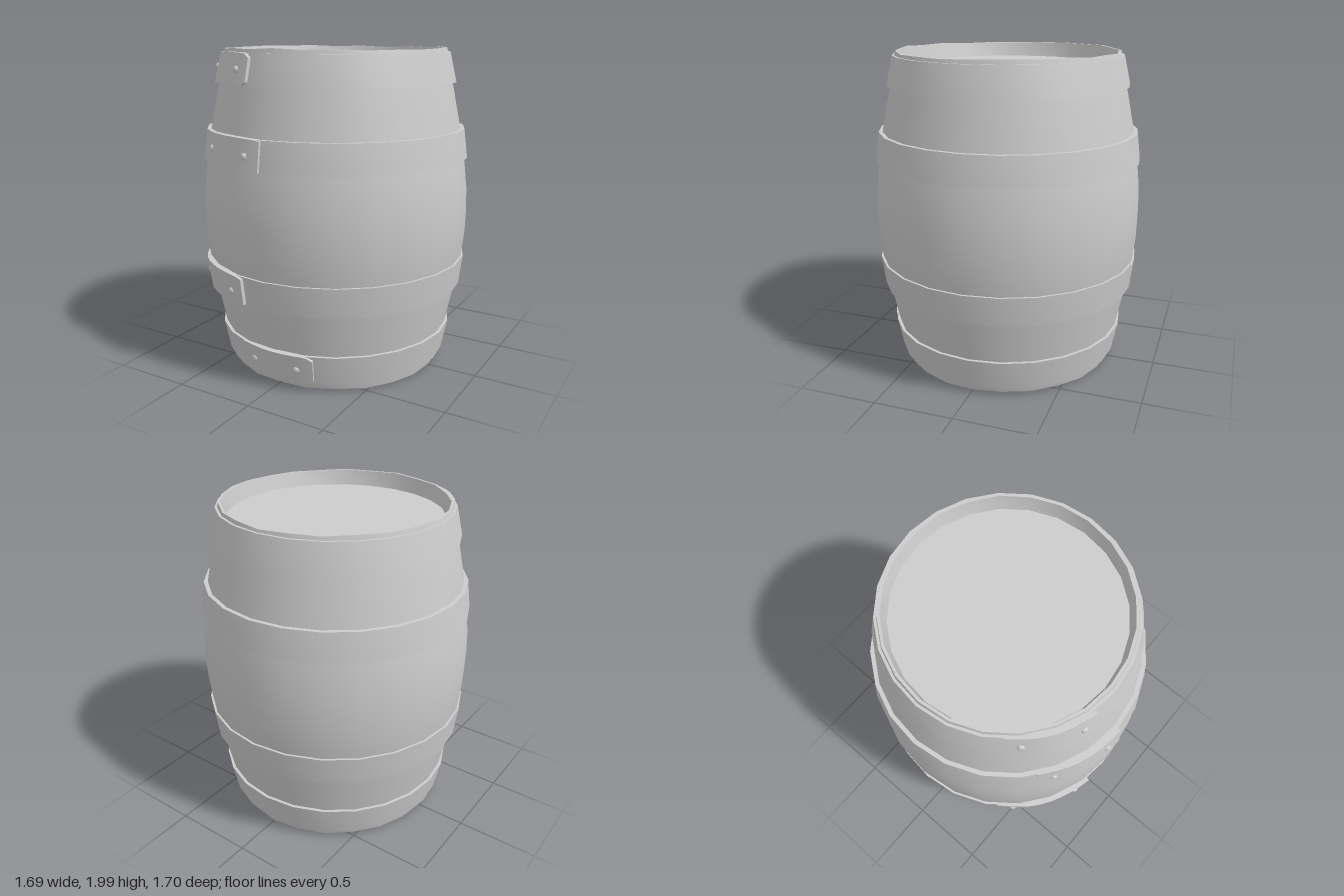
import * as THREE from 'three';
import { toCreasedNormals } from 'three/addons/utils/BufferGeometryUtils.js';

const SIDES = 24;
const grey = new THREE.MeshStandardMaterial({ color: 0xcccccc });

// Revolve [radius, y] points, keeping sharp profile corners sharp.
function revolve(points, adjust) {
  const geo = new THREE.LatheGeometry(points.map(([r, y]) => new THREE.Vector2(r, y)), SIDES);
  if (adjust) adjust(geo.attributes.position);
  return toCreasedNormals(geo, 0.6);
}

function addMesh(parent, name, geometry) {
  const mesh = new THREE.Mesh(geometry, grey);
  mesh.name = name;
  parent.add(mesh);
  return mesh;
}

// Bulging staves with a recessed head at both ends and slightly uneven rims.
function bodyGeometry() {
  const profile = [
    [0, 0.11], [0.655, 0.11], [0.675, 0.014], [0.688, 0.014], [0.695, 0.04],
    [0.735, 0.24], [0.79, 0.51], [0.824, 0.7], [0.842, 0.86], [0.846, 1],
    [0.842, 1.14], [0.824, 1.3], [0.79, 1.51], [0.735, 1.78],
    [0.7, 1.965], [0.693, 1.993], [0.677, 1.993], [0.655, 1.9], [0, 1.9],
  ];
  return revolve(profile, (pos) => {
    for (let i = 0; i < pos.count; i++) {
      const y = pos.getY(i);
      if (y > 1.99 || y < 0.02) {
        const a = Math.atan2(pos.getX(i), pos.getZ(i));
        pos.setY(i, y + 0.007 * Math.cos(5 * a) * Math.cos(8 * a));
      }
    }
  });
}

// One hoop: a closed ring, the raised overlapping end and two rivets.
function createHoop({ name, y0, y1, r0, r1, end, chamfer, rivets }) {
  const hoop = new THREE.Group();
  hoop.name = name;
  const thick = 0.04;
  addMesh(hoop, 'ring', revolve([
    [r0 - thick, y0], [r0, y0], [r1, y1], [r1 - thick, y1], [r0 - thick, y0],
  ]));

  const angleAt = (x) => Math.asin(x / ((r0 + r1) / 2));
  const a1 = angleAt(end);
  const a0 = angleAt(rivets[0][0]) - 0.12;
  const lift = (a) => 0.017 * THREE.MathUtils.smoothstep(a, a0, a0 + 0.35);
  const radius = (y) => r0 + (r1 - r0) * (y - y0) / (y1 - y0);

  // Bend a thin box around the barrel; its end corners are clipped.
  const n = 16;
  const geo = new THREE.BoxGeometry(1, 1, 1, n, 1, 1);
  const pos = geo.attributes.position;
  for (let i = 0; i < pos.count; i++) {
    const u = pos.getX(i) + 0.5;
    const v = pos.getY(i);
    const a = a0 + (a1 - a0) * u;
    const clip = u > 0.99 ? chamfer : u > 1 - 1.5 / n ? chamfer * 0.2 : 0;
    const y = (y0 + y1) / 2 + v * (y1 - y0) * (1 - clip) + 0.006 * Math.sin(Math.PI * u);
    const r = radius(y) + (pos.getZ(i) > 0 ? lift(a) : -0.025);
    pos.setXYZ(i, r * Math.sin(a), y, r * Math.cos(a));
  }
  geo.computeVertexNormals();
  addMesh(hoop, 'overlap', geo);

  // Domed rivet heads
  for (const [x, y] of rivets) {
    const a = angleAt(x);
    const r = radius(y) + lift(a) - 0.003;
    const rivet = addMesh(hoop, 'rivet', new THREE.SphereGeometry(0.022, 12, 8));
    rivet.position.set(r * Math.sin(a), y, r * Math.cos(a));
    rivet.rotation.y = a;
    rivet.scale.z = 0.75;
  }
  return hoop;
}

export function createModel() {
  const barrel = new THREE.Group();
  barrel.name = 'barrel';
  addMesh(barrel, 'body', bodyGeometry());

  const hoops = [
    { name: 'topHoop', y0: 1.79, y1: 1.97, r0: 0.755, r1: 0.714, end: -0.14, chamfer: 0.25,
      rivets: [[-0.515, 1.885], [-0.23, 1.88]] },
    { name: 'upperHoop', y0: 1.33, y1: 1.51, r0: 0.838, r1: 0.815, end: 0, chamfer: 0.04,
      rivets: [[-0.43, 1.42], [-0.1, 1.415]] },
    { name: 'lowerHoop', y0: 0.515, y1: 0.7, r0: 0.815, r1: 0.838, end: -0.15, chamfer: 0.12,
      rivets: [[-0.61, 0.6], [-0.245, 0.595]] },
    { name: 'bottomHoop', y0: 0.06, y1: 0.245, r0: 0.718, r1: 0.755, end: 0.25, chamfer: 0.25,
      rivets: [[-0.145, 0.155], [0.155, 0.155]] },
  ];
  for (const spec of hoops) barrel.add(createHoop(spec));
  return barrel;
}
